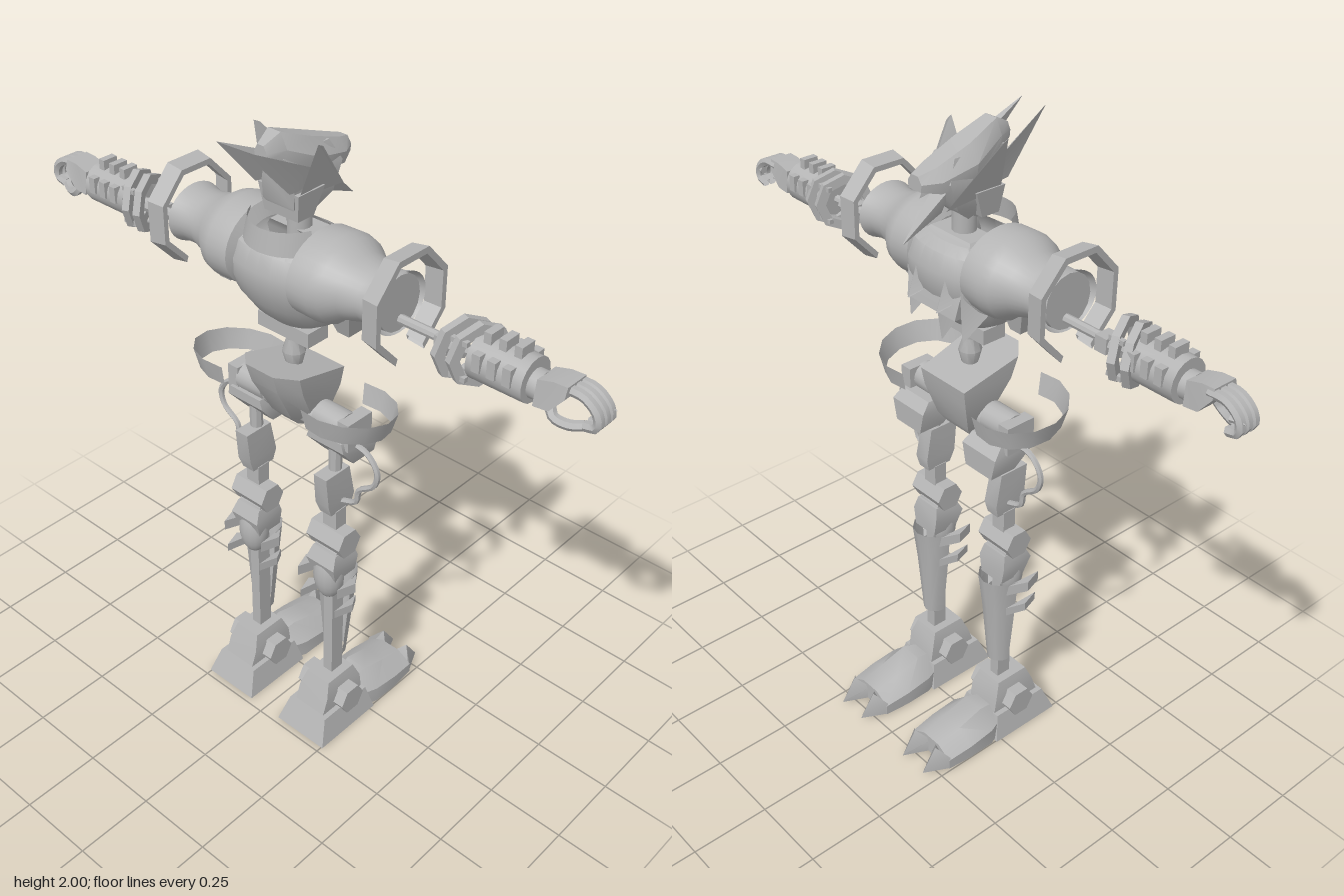
import * as THREE from 'three';
import { toCreasedNormals } from 'three/addons/utils/BufferGeometryUtils.js';

const steel = new THREE.MeshStandardMaterial({ color: 0xb4b4b4, side: THREE.DoubleSide });
steel.name = 'steel grey';

function add(group, name, geo, x = 0, y = 0, z = 0) {
  const mesh = new THREE.Mesh(toCreasedNormals(geo, 0.65), steel);
  mesh.name = name;
  mesh.position.set(x, y, z);
  group.add(mesh);
  return mesh;
}

// Skin a list of equal-length cross-sections
function loft(rings, closed = true, caps = true) {
  const n = rings[0].length, pos = [], idx = [];
  rings.forEach(r => r.forEach(p => pos.push(...p)));
  for (let i = 0; i < rings.length - 1; i++)
    for (let j = 0; j < (closed ? n : n - 1); j++) {
      const a = i * n + j, b = i * n + (j + 1) % n;
      idx.push(a, a + n, b, b, a + n, b + n);
    }
  if (closed && caps) for (const s of [0, (rings.length - 1) * n])
    for (let j = 1; j < n - 1; j++) s ? idx.push(s, s + j + 1, s + j) : idx.push(s, s + j, s + j + 1);
  const g = new THREE.BufferGeometry();
  g.setAttribute('position', new THREE.Float32BufferAttribute(pos, 3));
  g.setIndex(idx);
  g.computeVertexNormals();
  return g;
}
const rect = (y, hx, z0, z1) => [[-hx, y, z0], [-hx, y, z1], [hx, y, z1], [hx, y, z0]];
const box = (w, h, d) => new THREE.BoxGeometry(w, h, d);
const rodX = (r, l, n = 16) => new THREE.CylinderGeometry(r, r, l, n).rotateZ(-Math.PI / 2);
const rodY = (r, l, n = 12) => new THREE.CylinderGeometry(r, r, l, n);
const lathe = (pts, n = 32, a = 0, len = Math.PI * 2) =>
  new THREE.LatheGeometry(pts.map(p => new THREE.Vector2(...p)), n, a, len);
// Side outline given as [z, y], extruded across x
function sidePlate(pts, w) {
  const s = new THREE.Shape(pts.map(p => new THREE.Vector2(-p[0], p[1])));
  return new THREE.ExtrudeGeometry(s, { depth: w, bevelEnabled: false })
    .translate(0, 0, -w / 2).rotateY(Math.PI / 2);
}
// Horizontal arc of points about (cx, cz); angle 0 points to +x, PI/2 to +z
function arc(y, cx, cz, rx, rz, a0, a1, n = 8) {
  return Array.from({ length: n + 1 }, (_, i) => {
    const a = a0 + (a1 - a0) * i / n;
    return [cx + rx * Math.cos(a), y, cz + rz * Math.sin(a)];
  });
}

function buildHead() {
  const g = new THREE.Group(); g.name = 'head';
  add(g, 'neck', rodY(0.035, 0.12), 0, 1.71, 0.05);
  add(g, 'face', loft([rect(1.74, 0.03, 0.04, 0.1), rect(1.79, 0.055, -0.02, 0.13),
    rect(1.87, 0.06, -0.05, 0.13), rect(1.93, 0.04, -0.02, 0.15)]));
  add(g, 'jaw', loft([rect(1.75, 0.06, 0.06, 0.12), rect(1.83, 0.072, 0.03, 0.13)]));
  // long faceted helmet crest, sloping down to the back
  const sec = (z, w, top, low) => [[-w, low, z], [-w * 1.1, (top + low) / 2, z], [-w * 0.55, top, z],
    [w * 0.55, top, z], [w * 1.1, (top + low) / 2, z], [w, low, z]];
  add(g, 'helmetCrest', loft([sec(0.19, 0.02, 1.97, 1.93), sec(0.14, 0.04, 1.995, 1.91),
    sec(0.04, 0.06, 1.955, 1.86), sec(-0.07, 0.05, 1.915, 1.85), sec(-0.12, 0.025, 1.9, 1.86)]));
  add(g, 'backSpike', loft([[[-0.03, 1.85, -0.02], [0.03, 1.85, -0.02], [0, 1.77, -0.03]],
    [[0, 1.72, -0.16], [0.002, 1.72, -0.16], [0, 1.718, -0.16]]]));
  for (const s of [1, -1]) {
    add(g, 'browHorn', loft([[[s * 0.06, 1.84, 0.15], [s * 0.075, 1.9, 0.09], [s * 0.05, 1.82, 0]],
      [[s * 0.045, 2, 0.295], [s * 0.046, 1.998, 0.29], [s * 0.045, 1.997, 0.29]]]));
    add(g, 'earFin', loft([[[s * 0.065, 1.82, 0.12], [s * 0.075, 1.86, 0], [s * 0.055, 1.8, -0.06]],
      [[s * 0.112, 1.975, 0.1], [s * 0.113, 1.97, 0.09], [s * 0.11, 1.965, 0.08]]]));
  }
  return g;
}

function buildTorso() {
  const g = new THREE.Group(); g.name = 'torso';
  add(g, 'chest', lathe([[0, 1.43], [0.09, 1.43], [0.14, 1.46], [0.19, 1.51], [0.225, 1.57],
    [0.23, 1.62], [0.2, 1.67], [0.15, 1.69]]).scale(1, 1, 0.64), 0, 0, 0.07);
  add(g, 'collar', loft([arc(1.68, 0, 0.08, 0.13, 0.13, 0.35, 2.79, 10), arc(1.745, 0, 0.08, 0.115, 0.12, 0.35, 2.79, 10)], false));
  add(g, 'upperBack', loft([rect(1.5, 0.1, -0.07, 0.02), rect(1.66, 0.12, -0.04, 0.05), rect(1.7, 0.08, 0, 0.08)]));
  // ragged back spikes
  for (const [x, w, y, tipY, tipZ] of [[0, 0.06, 1.5, 1.39, -0.03], [0.11, 0.05, 1.52, 1.43, -0.05],
    [-0.11, 0.05, 1.52, 1.43, -0.05], [0.06, 0.05, 1.57, 1.52, -0.1], [-0.06, 0.05, 1.57, 1.52, -0.1]])
    add(g, 'backSpike', loft([[[x - w, y, 0], [x + w, y, 0], [x, y + 0.07, -0.06]],
      [[x - 0.002, tipY, tipZ], [x + 0.002, tipY, tipZ], [x, tipY + 0.003, tipZ]]]));
  add(g, 'waistBlock', box(0.19, 0.045, 0.08), 0, 1.405, 0.08);
  add(g, 'spine', lathe([[0.025, 1.28], [0.035, 1.32], [0.022, 1.36], [0.035, 1.41], [0.03, 1.44]], 10), 0, 0, 0.075);
  // pelvis shield, open V at the back
  const pelvis = (y, w, f, b) => [[-w * 0.9, y - (f - b) * 0.25, b], [-w, y - 0.01, f - 0.05],
    [-w * 0.5, y, f], [w * 0.5, y, f], [w, y - 0.01, f - 0.05], [w * 0.9, y - (f - b) * 0.25, b]];
  add(g, 'pelvis', loft([pelvis(1.085, 0.055, 0.09, 0.03), pelvis(1.13, 0.075, 0.13, 0.01),
    pelvis(1.25, 0.1, 0.195, -0.02), pelvis(1.315, 0.105, 0.215, -0.03)]));
  add(g, 'hipAxle', rodX(0.035, 0.3), 0, 1.13, 0.07);
  return g;
}

function buildArm() {
  const g = new THREE.Group(); g.name = 'arm';
  add(g, 'shoulder', lathe([[0.08, 0.09], [0.12, 0.11], [0.122, 0.18], [0.115, 0.21], [0.09, 0.25],
    [0.076, 0.3], [0.076, 0.34], [0.085, 0.375]]).rotateZ(-Math.PI / 2).scale(1, 1, 1.18), 0, 1.62, 0.08);
  // open octagonal cuff with its gap underneath
  add(g, 'shoulderCuff', lathe([[0.135, 0.36], [0.153, 0.36], [0.162, 0.413], [0.142, 0.413], [0.135, 0.36]],
    7, Math.PI * 0.625, Math.PI * 1.75).rotateZ(-Math.PI / 2).scale(1, 1, 0.92), 0, 1.625, 0.08);
  add(g, 'cuffDisc', rodX(0.08, 0.015), 0.365, 1.62, 0.08);
  add(g, 'armpitBlock', loft([rect(1.48, 0.02, 0.04, 0.12), rect(1.56, 0.045, 0.02, 0.15)]), 0.22, 0, 0);
  add(g, 'upperArmRod', rodX(0.014, 0.38, 8), 0.42, 1.572, 0.075);
  add(g, 'elbow', box(0.04, 0.045, 0.05), 0.52, 1.567, 0.075);
  add(g, 'elbowPin', rodX(0.022, 0.06, 8), 0.55, 1.567, 0.075);
  for (const x of [0.576, 0.622])
    add(g, 'forearmRing', lathe([[0.06, -0.011], [0.09, -0.011], [0.09, 0.011], [0.06, 0.011], [0.06, -0.011]], 8)
      .rotateX(Math.PI / 8).rotateZ(-Math.PI / 2), x, 1.575, 0.075);
  for (let i = 0; i < 4; i++) {
    const a = Math.PI / 4 + i * Math.PI / 2;
    add(g, 'ringStrut', box(0.05, 0.014, 0.014), 0.6, 1.575 + 0.072 * Math.sin(a), 0.075 + 0.072 * Math.cos(a));
  }
  add(g, 'forearm', rodX(0.062, 0.165), 0.707, 1.575, 0.075);
  for (const x of [0.66, 0.705, 0.75]) {
    add(g, 'forearmRib', box(0.022, 0.035, 0.05), x, 1.645, 0.075);
    for (const z of [0.018, 0.132]) add(g, 'sideRib', box(0.024, 0.05, 0.022), x, 1.595, z);
  }
  add(g, 'wrist', rodX(0.04, 0.03), 0.802, 1.568, 0.075);
  // hand with curled fingers and thumb
  add(g, 'palm', loft([[0.815, 1.535, 1.605], [0.86, 1.54, 1.618], [0.9, 1.59, 1.62]].map(([x, b, t]) =>
    [[x, b, 0.03], [x, t, 0.035], [x, t, 0.11], [x, b, 0.12]])));
  const curl = pts => new THREE.CatmullRomCurve3(pts.map(p => new THREE.Vector3(...p)));
  for (const z of [0.042, 0.066, 0.09])
    add(g, 'finger', new THREE.TubeGeometry(curl([[0.88, 1.602, z], [0.935, 1.6, z], [0.975, 1.568, z],
      [0.978, 1.535, z], [0.945, 1.525, z]]), 12, 0.014, 6), 0, 0, 0);
  add(g, 'thumb', new THREE.TubeGeometry(curl([[0.85, 1.555, 0.1], [0.87, 1.525, 0.11], [0.91, 1.515, 0.1],
    [0.94, 1.52, 0.085]]), 10, 0.014, 6));
  add(g, 'fingertip', new THREE.ConeGeometry(0.012, 0.045, 6).rotateZ(-Math.PI / 2), 0.975, 1.565, 0.04);
  return g;
}

function buildLeg() {
  const g = new THREE.Group(); g.name = 'leg';
  const X = 0.158, Z = 0.075;
  add(g, 'hipJoint', rodX(0.045, 0.1), 0.15, 1.145, 0.07);
  add(g, 'hipBracket', loft([rect(1.02, 0.055, -0.03, 0.06), rect(1.09, 0.07, -0.03, 0.12), rect(1.12, 0.06, 0, 0.12)]), X, 0, 0);
  add(g, 'hipCap', box(0.04, 0.09, 0.1), 0.215, 1.14, 0.06);
  // curved skirt armour, tilted down to the back
  const skirt = loft([arc(1.17, 0.2, 0.08, 0.13, 0.125, -1.9, 1.9, 8), arc(1.235, 0.2, 0.08, 0.15, 0.14, -1.9, 1.9, 8)], false);
  const p = skirt.attributes.position;
  for (let i = 0; i < p.count; i++) p.setY(i, p.getY(i) + 0.16 * (p.getZ(i) - 0.08));
  add(g, 'hipSkirt', skirt);
  add(g, 'hydraulicHose', new THREE.TubeGeometry(new THREE.CatmullRomCurve3([[0.2, 1.1], [0.27, 1.09], [0.31, 1.04],
    [0.3, 0.99], [0.245, 0.945], [0.235, 0.9], [0.18, 0.875]].map(([x, y]) => new THREE.Vector3(x, y, 0.07))), 24, 0.009, 6));
  add(g, 'thighRod', rodY(0.02, 0.36, 8), X, 0.93, Z);
  add(g, 'thighBlock', loft([rect(0.84, 0.022, 0.03, 0.115), rect(0.88, 0.026, 0.02, 0.13), rect(0.985, 0.024, 0.04, 0.14)]), X, 0, 0);
  add(g, 'kneeLink', box(0.05, 0.13, 0.045), X, 0.78, Z);
  add(g, 'kneeJoint', rodX(0.048, 0.13, 6), X, 0.738, 0.08);
  add(g, 'kneeHub', rodX(0.036, 0.085, 12), X, 0.69, 0.08);
  add(g, 'kneePad', new THREE.SphereGeometry(1, 16, 12).scale(0.05, 0.09, 0.045), X, 0.6, 0.098);
  add(g, 'kneeCollar', loft([rect(0.6, 0.045, 0.03, 0.12), rect(0.66, 0.055, 0.03, 0.14), rect(0.7, 0.045, 0.04, 0.12)]), X, 0, 0);
  add(g, 'shinRod', box(0.035, 0.45, 0.05), X, 0.4, Z);
  // calf shell, open at the front, with pairs of side fins
  const half = (y, rx, rz) => arc(y, X, 0.075, rx, rz, Math.PI, 2 * Math.PI, 6);
  add(g, 'calfShell', loft([half(0.265, 0.038, 0.045), half(0.48, 0.06, 0.062), half(0.6, 0.07, 0.078)], false));
  for (const s of [1, -1]) for (const [y, r, h] of [[0.575, 0.1, 0.035], [0.492, 0.09, 0.028]]) {
    const fin = (d, k) => [[X + s * 0.058, y - h / 2 + d, 0.04 + k], [X + s * r, y + d, 0.09 + k], [X + s * (r - 0.02), y + d, 0.15]];
    add(g, 'calfFin', loft([fin(0, 0), fin(h, 0)]));
  }
  // foot: front block, ankle hub, long clawed sole
  add(g, 'ankleBlock', loft([rect(0.0, 0.097, -0.02, 0.23), rect(0.085, 0.075, 0, 0.195)]), X, 0, 0);
  add(g, 'ankleTower', loft([rect(0.07, 0.058, 0, 0.19), rect(0.14, 0.058, 0.01, 0.165),
    rect(0.19, 0.045, 0.03, 0.145)]), X, 0, 0);
  add(g, 'ankleHub', rodX(0.05, 0.19, 6), X, 0.11, 0.085);
  const claw = (z, w, t, m) => [[X - w, 0.005, z], [X - w, t, z], [X - w * 0.4, m, z], [X + w * 0.4, m, z],
    [X + w, t, z], [X + w, 0.005, z]];
  add(g, 'sole', loft([claw(0.05, 0.06, 0.06, 0.09), claw(-0.04, 0.093, 0.06, 0.115), claw(-0.13, 0.095, 0.05, 0.09),
    claw(-0.215, 0.088, 0.04, 0.07)]));
  for (const s of [1, -1])
    add(g, 'claw', loft([[[X + s * 0.088, 0.005, -0.21], [X + s * 0.088, 0.05, -0.21], [X + s * 0.05, 0.085, -0.24],
      [X + s * 0.01, 0.05, -0.205], [X + s * 0.01, 0.005, -0.205]],
    Array.from({ length: 5 }, (_, i) => [X + s * 0.049, 0.008 + 0.002 * (i % 2), -0.292])]));
  return g;
}

export function createModel() {
  const model = new THREE.Group(); model.name = 'robot';
  model.add(buildHead(), buildTorso());
  for (const [side, s] of [['left', 1], ['right', -1]]) {
    const half = new THREE.Group();
    half.name = side + 'Limbs';
    half.add(buildArm(), buildLeg());
    half.scale.x = s;
    model.add(half);
  }
  return model;
}
